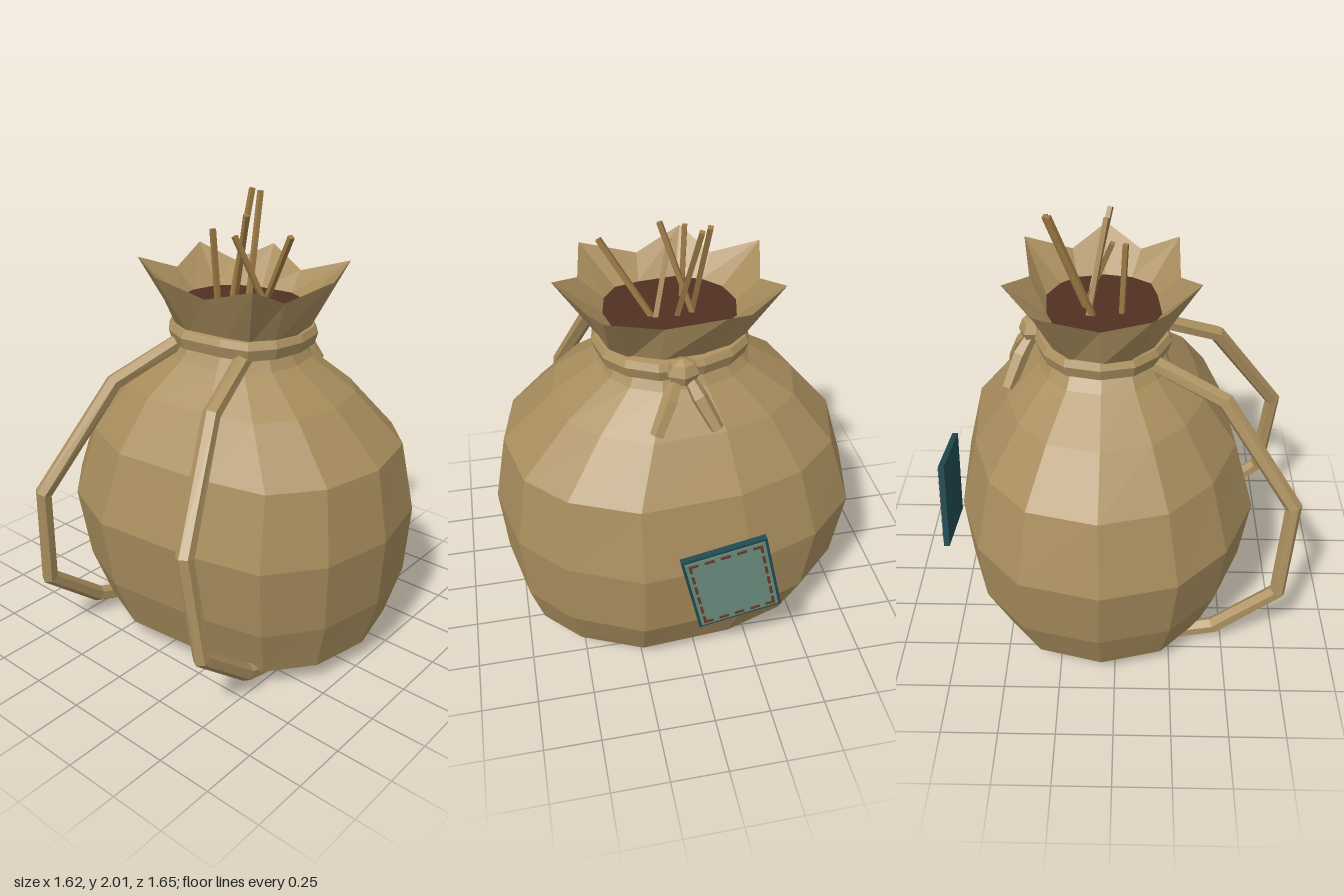
import * as THREE from 'three';

const V = (x, y, z) => new THREE.Vector3(x, y, z);
const mat = (name, color) => {
  const m = new THREE.MeshStandardMaterial({ color });
  m.name = name;
  m.flatShading = true;
  return m;
};

// Skins a list of rings with quads; optional fan caps at both ends
function loft(rings, capStart = false, capEnd = false) {
  const pos = [];
  const n = rings[0].length;
  const tri = (...pts) => pts.forEach((p) => pos.push(p.x, p.y, p.z));
  for (let i = 0; i < rings.length - 1; i++) {
    for (let j = 0; j < n; j++) {
      const k = (j + 1) % n;
      const [a, b, c, d] = [rings[i][j], rings[i][k], rings[i + 1][k], rings[i + 1][j]];
      tri(a, b, c);
      tri(a, c, d);
    }
  }
  const cap = (ring, flip) => {
    const mid = ring.reduce((s, p) => s.add(p), V(0, 0, 0)).divideScalar(n);
    ring.forEach((p, j) => {
      const q = ring[(j + 1) % n];
      if (flip) tri(mid, q, p);
      else tri(mid, p, q);
    });
  };
  if (capStart) cap(rings[0], true);
  if (capEnd) cap(rings[rings.length - 1], false);
  const g = new THREE.BufferGeometry();
  g.setAttribute('position', new THREE.Float32BufferAttribute(pos, 3));
  g.computeVertexNormals();
  return g;
}

// Sweeps a regular polygon along straight segments with mitred corners
function sweep(points, radius, sides, ref) {
  const rings = points.map((p, i) => {
    const r = Array.isArray(radius) ? radius[i] : radius;
    const t = points[Math.min(i + 1, points.length - 1)].clone()
      .sub(points[Math.max(i - 1, 0)]).normalize();
    const nrm = ref.clone().addScaledVector(t, -ref.dot(t)).normalize();
    const bin = t.clone().cross(nrm);
    return Array.from({ length: sides }, (_, j) => {
      const a = ((j + 0.5) / sides) * Math.PI * 2;
      return p.clone().addScaledVector(nrm, Math.cos(a) * r).addScaledVector(bin, Math.sin(a) * r);
    });
  });
  return loft(rings, true, true);
}

// Slightly uneven 14-sided unit outline, from +z round through +x
const OUTLINE = [
  [0, 1], [0.5, 0.91], [0.79, 0.69], [1, 0.31], [0.95, -0.26], [0.79, -0.64], [0.5, -0.9],
  [0, -1], [-0.48, -0.9], [-0.8, -0.64], [-1, -0.26], [-0.93, 0.33], [-0.82, 0.71], [-0.48, 0.92],
];
const ring = ([y, rx, rz, cx = 0.06, cz = 0]) =>
  OUTLINE.map(([x, z]) => V(cx + x * rx, y, cz + z * rz));

export function createModel() {
  const model = new THREE.Group();
  model.name = 'sack';
  const cloth = mat('sackcloth', 0xa88d5d);
  const rope = mat('rope', 0xad9261);
  const soil = mat('soil', 0x513122);
  const straw = mat('straw', 0x9c7a45);
  const patchEdge = mat('patch edge', 0x1f4a50);
  const patchFace = mat('patch face', 0x6b8d7d);
  const thread = mat('thread', 0x6b3a24);

  const add = (name, geometry, material, parent = model) => {
    const mesh = new THREE.Mesh(geometry, material);
    mesh.name = name;
    parent.add(mesh);
    return mesh;
  };

  // Sack body: height, half width, half depth, centre
  add('body', loft([
    [0, 0.37, 0.5, 0.08, 0.02],
    [0.09, 0.56, 0.71, 0.06, 0.03],
    [0.32, 0.65, 0.785, 0.07, 0.015],
    [0.64, 0.68, 0.825],
    [0.96, 0.595, 0.745, 0.065, 0.02],
    [1.18, 0.44, 0.54],
    [1.32, 0.29, 0.33],
    [1.39, 0.25, 0.275, 0.06, 0.01],
    [1.46, 0.25, 0.3, 0.06, 0.01],
  ].map(ring), true), cloth);

  // Flared mouth with seven points, folding inward to the soil
  const rim = [
    [0.06, 0.5], [0.21, 0.38], [0.42, 0.34], [0.38, 0.1], [0.47, -0.13], [0.34, -0.26], [0.27, -0.42],
    [0.06, -0.37], [-0.14, -0.42], [-0.21, -0.22], [-0.35, -0.11], [-0.27, 0.1], [-0.27, 0.35], [-0.1, 0.38],
  ].map(([x, z], i) => V(x, i % 2 ? 1.64 : 1.715, z));
  const soilRing = ring([1.55, 0.25, 0.285, 0.06, 0.015]);
  const mouth = add('mouth', loft([ring([1.44, 0.25, 0.31, 0.06, 0.01]), rim, soilRing]), cloth);
  mouth.castShadow = true;
  add('soil', loft([soilRing], false, true), soil);

  // Rope round the neck
  add('neckRope', loft([
    [1.39, 0.23, 0.26], [1.38, 0.285, 0.325], [1.43, 0.3, 0.34], [1.46, 0.285, 0.325], [1.465, 0.23, 0.27],
  ].map(([y, rx, rz]) => ring([y, rx, rz, 0.065, 0.015]))), rope);

  // Knot and its two hanging tails
  const knot = add('knot', new THREE.SphereGeometry(0.07, 6, 4), rope);
  knot.scale.set(0.85, 0.9, 1.05);
  knot.position.set(0.37, 1.43, 0.025);
  for (const s of [1, -1]) {
    add('knotTail', sweep([
      V(0.37, 1.41, 0.025 + s * 0.02),
      V(0.42, 1.33, 0.025 + s * 0.06),
      V(0.475, 1.2, 0.025 + s * 0.125),
    ], [0.025, 0.036, 0.03], 5, V(1, 0, 0)), rope);
  }

  // Two carrying straps on the model's right side
  for (const s of [1, -1]) {
    add('strap', sweep([
      [-0.1, 1.4, 0.17], [-0.46, 1.25, 0.28], [-0.775, 0.79, 0.42],
      [-0.74, 0.33, 0.47], [-0.46, 0.1, 0.47], [-0.25, 0.035, 0.45],
    ].map(([x, y, z]) => V(x, y, 0.02 + s * z)), 0.038, 6, V(0, 0, 1)), rope);
  }

  // Straw stalks: base to tip
  [
    [[-0.02, 1.54, -0.05], [-0.035, 1.87, -0.065]],
    [[0.1, 1.54, -0.07], [0.27, 2, -0.1]],
    [[0.13, 1.54, 0], [0.285, 1.99, -0.065]],
    [[0.12, 1.54, -0.07], [0.045, 1.93, 0.055]],
    [[0.13, 1.54, 0.09], [0.02, 1.84, 0.01]],
    [[0.12, 1.54, 0.1], [0.035, 1.875, 0.3]],
  ].forEach(([a, b]) => {
    add('stalk', sweep([V(...a), V(...b)], 0.015, 4, V(1, 0, 0.3)), straw);
  });

  // Stitched patch beside the sack's left side
  const patch = new THREE.Group();
  patch.name = 'patch';
  patch.position.set(0.785, 0.625, -0.104);
  patch.rotation.set(0, Math.PI / 2, 0.21, 'YXZ');
  model.add(patch);
  const W = 0.365, H = 0.41;
  add('patchBacking', new THREE.BoxGeometry(W, H, 0.026), patchEdge, patch);
  add('patchCloth', new THREE.BoxGeometry(W - 0.024, H - 0.024, 0.006), patchFace, patch)
    .position.z = 0.014;
  const stitches = (count, length, place) => {
    for (let i = 0; i < count; i++) {
      const along = (i / (count - 1) - 0.5) * (length - 0.042);
      for (const s of [1, -1]) place(along, s);
    }
  };
  const dash = (w, h, x, y) =>
    add('stitch', new THREE.BoxGeometry(w, h, 0.008), thread, patch).position.set(x, y, 0.017);
  stitches(5, W - 0.05, (a, s) => dash(0.042, 0.012, a, s * (H / 2 - 0.031)));
  stitches(6, H - 0.05, (a, s) => dash(0.012, 0.042, s * (W / 2 - 0.031), a));

  return model;
}
